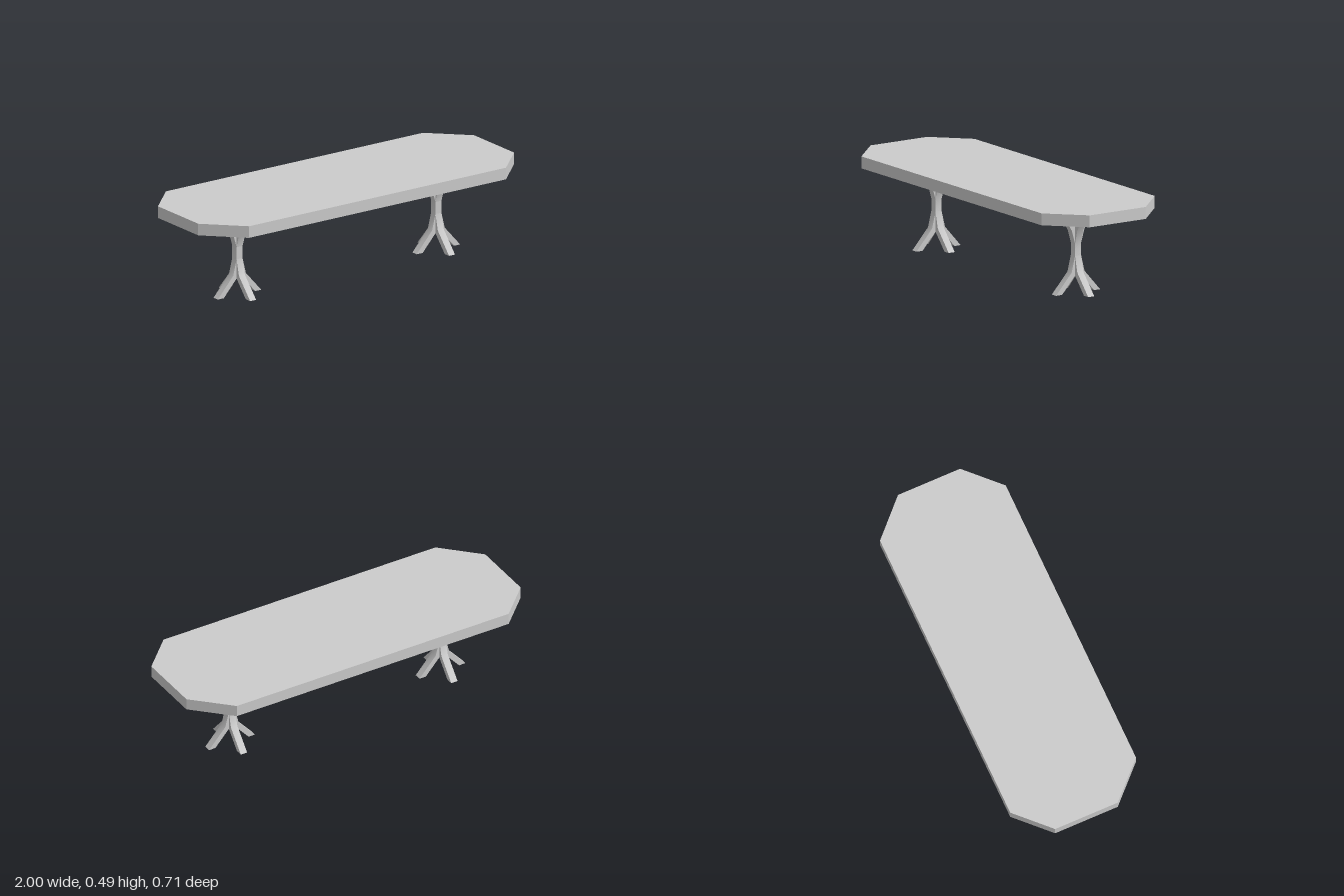
import * as THREE from 'three';
import { toCreasedNormals } from 'three/addons/utils/BufferGeometryUtils.js';

const TOP_Y = 0.493, UNDER_Y = 0.43, BAR = 0.038;

function extrude(points, depth) {
  const shape = new THREE.Shape(points.map(([x, y]) => new THREE.Vector2(x, y)));
  return new THREE.ExtrudeGeometry(shape, { depth, bevelEnabled: false });
}

// Flat X-shaped frame: two splayed feet, a narrow waist and two splayed arms
function frameGeometry() {
  const outer = [[0.138, 0], [0.04, 0.11], [0.019, 0.195], [0.019, 0.26], [0.039, 0.33], [0.099, UNDER_Y]];
  const half = [[0, 0.112], [0.1, 0], ...outer, [0.061, UNDER_Y]];
  const mirrored = half.slice(1).reverse().map(([x, y]) => [-x, y]);
  const geometry = extrude([...half, [0, 0.33], ...mirrored], BAR).translate(0, 0, -BAR / 2);
  return toCreasedNormals(geometry, 0.6);
}

export function createModel() {
  const group = new THREE.Group();
  const material = new THREE.MeshStandardMaterial({ color: 0xcccccc });

  // Slab with four cut corners
  const outline = [
    [0.82, 0.357], [-0.813, 0.357], [-1, 0.17], [-1, -0.183],
    [-0.823, -0.357], [0.81, -0.357], [1, -0.17], [1, 0.18],
  ];
  const slab = extrude(outline, TOP_Y - UNDER_Y).rotateX(Math.PI / 2).translate(0, TOP_Y, 0);
  const tableTop = new THREE.Mesh(slab, material);
  tableTop.name = 'tableTop';
  group.add(tableTop);

  // Two pedestals, each made of two crossed frames
  const geometry = frameGeometry();
  for (const [name, x] of [['leftPedestal', 0.629], ['rightPedestal', -0.635]]) {
    const pedestal = new THREE.Group();
    pedestal.name = name;
    pedestal.position.set(x, 0, 0.01);
    for (const [part, angle] of [['lengthwiseLegs', 0], ['crosswiseLegs', Math.PI / 2]]) {
      const legs = new THREE.Mesh(geometry, material);
      legs.name = part;
      legs.rotation.y = angle;
      pedestal.add(legs);
    }
    group.add(pedestal);
  }
  return group;
}
